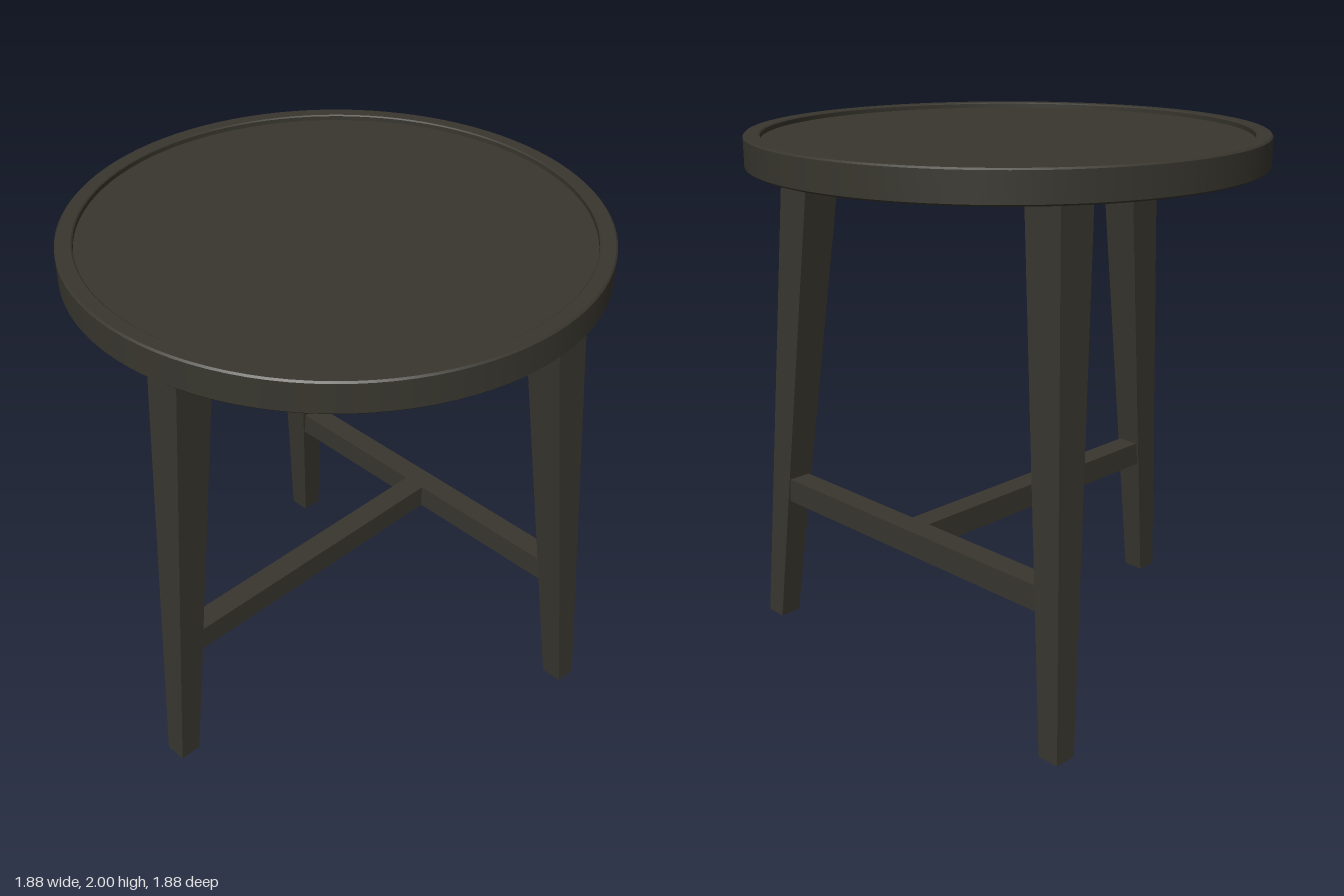
import * as THREE from 'three';

const darkWood = new THREE.MeshStandardMaterial({ color: 0x38362e });

// Square tapered leg; foot and head are [x, z, width]
function taperedLeg(name, foot, head, height) {
  const geo = new THREE.BoxGeometry(1, height, 1).toNonIndexed();
  geo.translate(0, height / 2, 0);
  const pos = geo.attributes.position;
  for (let i = 0; i < pos.count; i++) {
    const [cx, cz, w] = pos.getY(i) > height / 2 ? head : foot;
    pos.setX(i, cx + pos.getX(i) * w);
    pos.setZ(i, cz + pos.getZ(i) * w);
  }
  geo.computeVertexNormals();
  const mesh = new THREE.Mesh(geo, darkWood);
  mesh.name = name;
  return mesh;
}

function bar(name, w, h, d, x, y, z) {
  const mesh = new THREE.Mesh(new THREE.BoxGeometry(w, h, d), darkWood);
  mesh.name = name;
  mesh.position.set(x, y, z);
  return mesh;
}

export function createModel() {
  const stool = new THREE.Group();
  stool.name = 'stool';

  // Round top with a raised rim; each profile segment is its own lathe to keep edges sharp
  const top = new THREE.Group();
  top.name = 'roundTop';
  const profile = [
    [0, 1.885], [0.934, 1.885], [0.94, 1.891], [0.94, 1.994],
    [0.934, 2], [0.885, 2], [0.88, 1.996], [0.88, 1.98], [0, 1.98],
  ].map(([r, y]) => new THREE.Vector2(r, y));
  const names = ['underside', 'lowerEdge', 'side', 'upperEdge', 'rim', 'innerEdge', 'innerWall', 'surface'];
  names.forEach((name, i) => {
    const part = new THREE.Mesh(new THREE.LatheGeometry([profile[i], profile[i + 1]], 96), darkWood);
    part.name = name;
    top.add(part);
  });
  stool.add(top);

  // Three splayed legs
  stool.add(taperedLeg('frontLeg', [-0.003, 0.835, 0.085], [-0.003, 0.685, 0.155], 1.89));
  for (const [name, s] of [['leftBackLeg', 1], ['rightBackLeg', -1]]) {
    stool.add(taperedLeg(name, [s * 0.77, -0.547, 0.085], [s * 0.628, -0.41, 0.155], 1.89));
  }

  // T-shaped stretcher
  stool.add(bar('backStretcher', 1.43, 0.095, 0.09, 0, 0.562, -0.507));
  stool.add(bar('centreStretcher', 0.09, 0.095, 1.252, -0.003, 0.562, 0.164));

  return stool;
}
